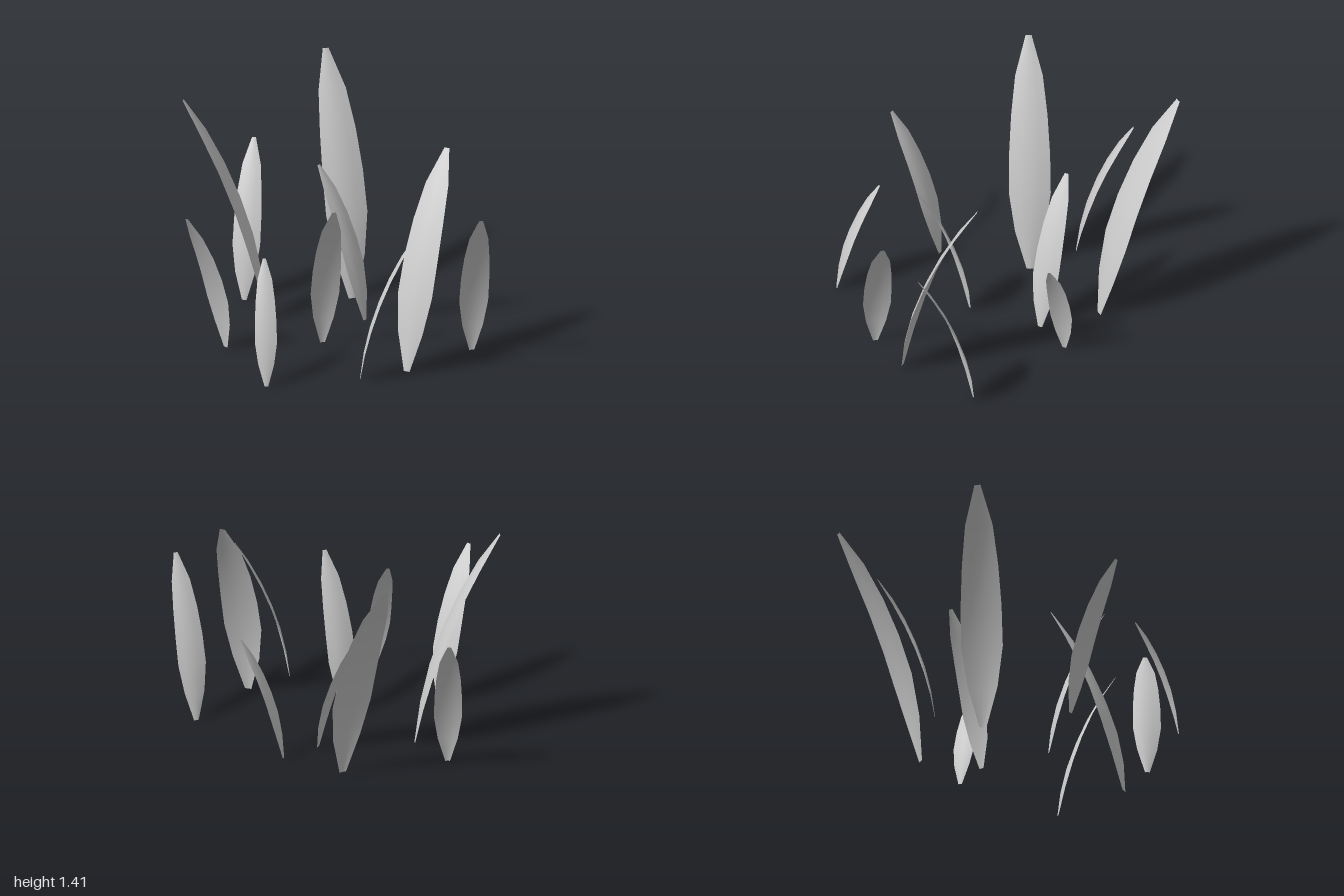
import * as THREE from 'three';

// Blades: base x, base z, tip x, tip z, height
const BLADES = [
  [-0.35, -0.57, -0.225, -0.89, 0.915],
  [0.29, -0.47, 0.235, -1.0, 1.41],
  [-0.275, -0.245, -0.755, -0.42, 1.365],
  [0.29, -0.09, 0.06, -0.35, 0.915],
  [0.54, -0.15, 0.745, 0.025, 0.745],
  [-0.62, 0.2, -0.9, 0.405, 0.915],
  [-0.035, 0.235, -0.035, 0.58, 0.955],
  [0.36, 0.82, 0.68, 0.46, 1.275],
  [0.815, 0.54, 0.8, 0.895, 0.955],
  [-0.515, 0.905, -0.475, 0.645, 0.72],
  [0.065, 0.88, 0.39, 0.96, 0.915],
];

// Relative blade width at each row, from base to tip
const WIDTHS = [0.17, 0.72, 1, 0.98, 0.87, 0.66, 0.14];
const ROWS = WIDTHS.length - 1;

// A leaf blade that leans along local +z, bends outward and is slightly cupped
function bladeGeometry(height, lean) {
  const geometry = new THREE.PlaneGeometry(1, 1, 4, ROWS);
  const pos = geometry.attributes.position;
  for (let i = 0; i < pos.count; i++) {
    const u = pos.getX(i) * 2;
    const t = pos.getY(i) + 0.5;
    const width = 0.184 * height * WIDTHS[Math.round(t * ROWS)];
    const cup = 0.08 * width * (1 - u * u);
    pos.setXYZ(
      i,
      (u * width) / 2,
      height * (1.1 * t - 0.1 * t * t),
      lean * (0.43 * t + 0.57 * t * t) - cup
    );
  }
  geometry.computeVertexNormals();
  return geometry;
}

export function createModel() {
  const model = new THREE.Group();
  model.name = 'grassTuft';
  const material = new THREE.MeshStandardMaterial({ color: 0xcccccc, side: THREE.DoubleSide });

  BLADES.forEach(([bx, bz, tx, tz, height], i) => {
    const dx = tx - bx;
    const dz = tz - bz;
    const blade = new THREE.Mesh(bladeGeometry(height, Math.hypot(dx, dz)), material);
    blade.name = `grassBlade${i + 1}`;
    blade.position.set(bx, 0, bz);
    blade.rotation.y = Math.atan2(dx, dz);
    model.add(blade);
  });
  return model;
}
